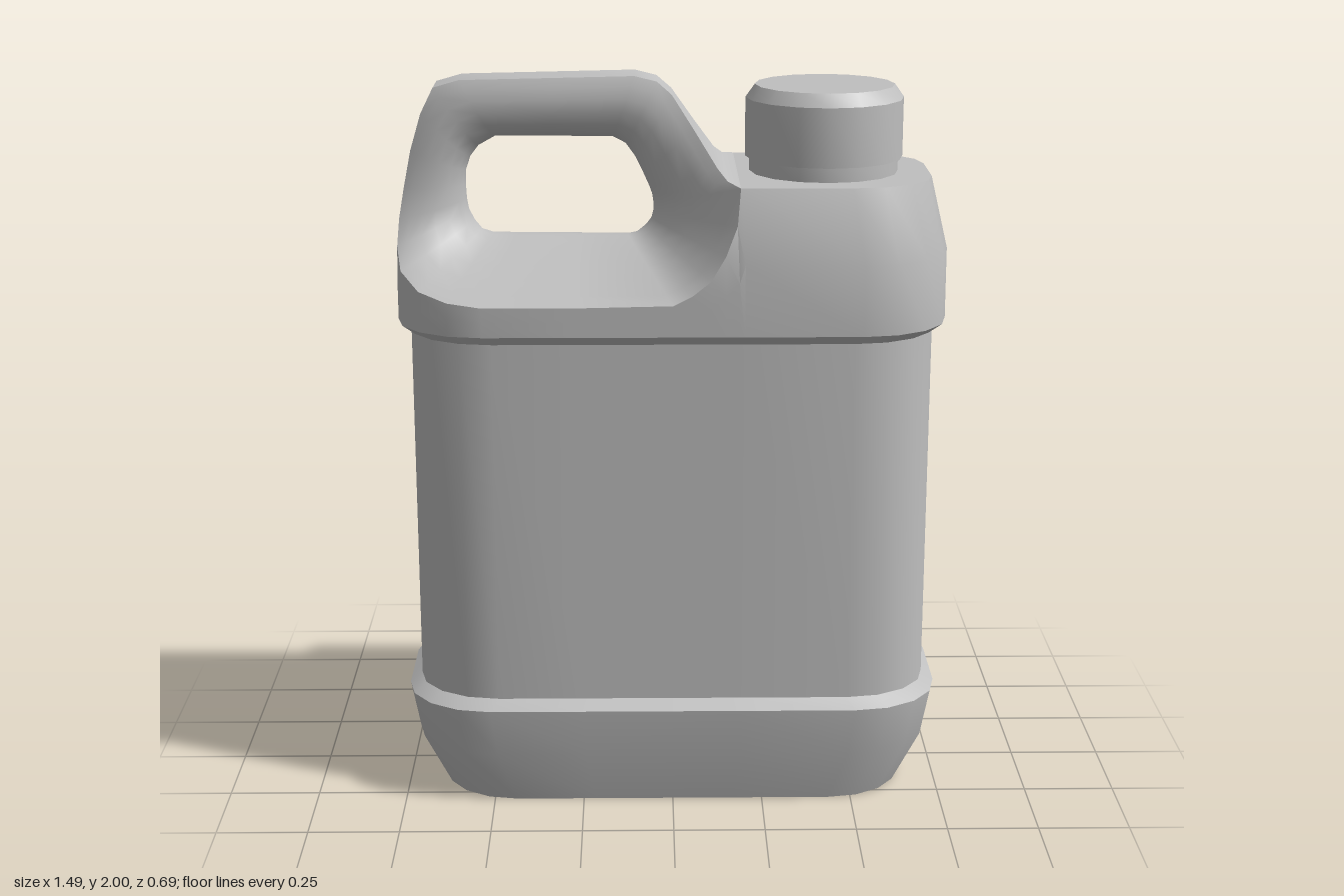
import * as THREE from 'three';
import { toCreasedNormals } from 'three/addons/utils/BufferGeometryUtils.js';

const HX = 0.745, HZ = 0.345, DECK = 1.735;
const plastic = new THREE.MeshStandardMaterial({ color: 0xbfbfbf });
plastic.name = 'grey plastic';

const flip = ([x, y, z]) => [x, y, -z];
const lerp = THREE.MathUtils.lerp;

// Surface through rows of points; optionally closed around each row
function grid(rows, closed, crease = 0.6) {
  const n = rows[0].length, index = [];
  for (let j = 0; j < rows.length - 1; j++) {
    for (let i = 0; i < (closed ? n : n - 1); i++) {
      const k = (i + 1) % n;
      const a = j * n + i, b = j * n + k, c = b + n, d = a + n;
      index.push(a, b, d, b, c, d);
    }
  }
  const geo = new THREE.BufferGeometry();
  geo.setAttribute('position', new THREE.Float32BufferAttribute(rows.flat(2), 3));
  geo.setIndex(index);
  return toCreasedNormals(geo, crease);
}

const fan = (ring, centre) => grid([ring, ring.map(() => centre)], true);

// Front half of the plan outline, left to right: [x, z, height of the shoulder there]
function outlineColumns() {
  const cols = [];
  const corner = (side, i) => {
    const a = (i / 4) * Math.PI / 2;
    return [side * (HX - 0.24 + 0.24 * Math.cos(a)), HZ - 0.225 + 0.225 * Math.sin(a)];
  };
  [1.55, 1.5, 1.46, 1.44, 1.43].forEach((y, i) => cols.push([...corner(-1, i), y]));
  for (const [x, y] of [[-0.25, 1.43], [0, 1.435], [0.05, 1.46], [0.1, 1.5],
    [0.14, 1.565], [0.175, 1.64], [0.19, DECK]]) cols.push([x, HZ, y]);
  for (let i = 4; i >= 0; i--) cols.push([...corner(1, i), DECK]);
  return cols;
}
const columns = outlineColumns();
const SADDLE = 11; // column where the handle meets the deck

// Point of a column at height y for half-width hx and half-depth hz
const place = ([x, z], y, hx, hz) => [x * hx / HX, y, z * hz / HZ];
const ringOf = (half) => [...half, ...half.map(flip).reverse()];

function shoulderPoint(col, t) {
  const y = lerp(1.35, col[2], t);
  const k = Math.max(0, (y - 1.54) / (DECK - 1.54));
  return place(col, y, lerp(HX, 0.70, k), lerp(HZ, 0.28, k));
}

export function createModel() {
  const model = new THREE.Group();
  model.name = 'jerrycan';
  const add = (name, geo) => {
    const mesh = new THREE.Mesh(geo, plastic);
    mesh.name = name;
    model.add(mesh);
    return mesh;
  };

  // Foot, recessed label panel and lips: [y, half width, half depth]
  const sections = [[0, 0.645, 0.295], [0.15, 0.72, 0.33], [0.285, HX, HZ],
    [0.31, 0.712, 0.31], [1.322, 0.712, 0.31], [1.35, HX, HZ]];
  const bodyRows = sections.map((s) => ringOf(columns.map((c) => place(c, ...s))));
  add('body', grid(bodyRows, true));
  add('base', fan([...bodyRows[0]].reverse(), [0, 0, 0]));

  // Shoulder, cut down on the handle side
  add('shoulder', grid([0, 0.5, 1].map((t) =>
    ringOf(columns.map((c) => shoulderPoint(c, t)))), true));
  const rim = columns.map((c) => shoulderPoint(c, 1));
  add('deck', fan(ringOf(rim.slice(SADDLE)), [0.45, DECK, 0]));

  // Handle edge from the saddle over the top and down the left side
  const ridge = [[0.145, 1.745, 0.23], [0.12, 1.77, 0.18], [0.06, 1.86, 0.11],
    [0, 1.95, 0.068], [-0.04, 1.985, 0.065], [-0.1, 2, 0.065], [-0.33, 1.995, 0.065],
    [-0.57, 1.99, 0.065], [-0.64, 1.97, 0.065], [-0.675, 1.9, 0.065],
    [-0.705, 1.8, 0.065], [-0.725, 1.7, 0.07], [-0.738, 1.62, 0.09]];
  const outer = [...rim.slice(0, SADDLE + 1), ...ridge];

  // Grip opening, one point for each point of the outer edge
  const hole = [[-0.555, 1.63], [-0.54, 1.6], [-0.52, 1.575], [-0.49, 1.565],
    [-0.42, 1.563], [-0.27, 1.562], [-0.12, 1.56], [-0.095, 1.565], [-0.07, 1.585],
    [-0.055, 1.605], [-0.05, 1.625], [-0.05, 1.65], [-0.053, 1.67], [-0.06, 1.69],
    [-0.08, 1.735], [-0.1, 1.775], [-0.125, 1.81], [-0.16, 1.828], [-0.33, 1.83],
    [-0.48, 1.83], [-0.525, 1.805], [-0.548, 1.775], [-0.56, 1.74], [-0.562, 1.7],
    [-0.56, 1.66]];

  // Scooped sides: [share of the way to the hole, half thickness of the grip]
  const steps = [[0, 0.065], [0.15, 0.075], [0.35, 0.081], [0.55, 0.08],
    [0.75, 0.068], [0.9, 0.042], [0.97, 0.02], [1, 0]];
  const loops = steps.map(([s, thick]) => outer.map(([x, y, z], i) => [
    lerp(x, hole[i][0], s), lerp(y, hole[i][1], s),
    thick + (z - 0.065) * Math.pow(1 - s, 1.4)]));
  const backLoops = loops.slice(0, -1).reverse().map((loop) => loop.map(flip));
  add('handleGrip', grid([...loops, ...backLoops], true, 1.0));

  const edge = [...outer.slice(SADDLE), outer[0]];
  add('handleEdge', grid([edge.map(flip), edge], false));

  // Neck and screw cap
  const turned = (name, profile) => {
    const pts = profile.map(([r, y]) => new THREE.Vector2(r, y));
    const geo = toCreasedNormals(new THREE.LatheGeometry(pts, 16), 0.6);
    add(name, geo).position.x = 0.415;
  };
  turned('neck', [[0.203, DECK - 0.01], [0.203, 1.78]]);
  turned('cap', [[0, 1.775], [0.215, 1.775], [0.215, 1.935], [0.19, 1.97], [0, 1.97]]);

  return model;
}
